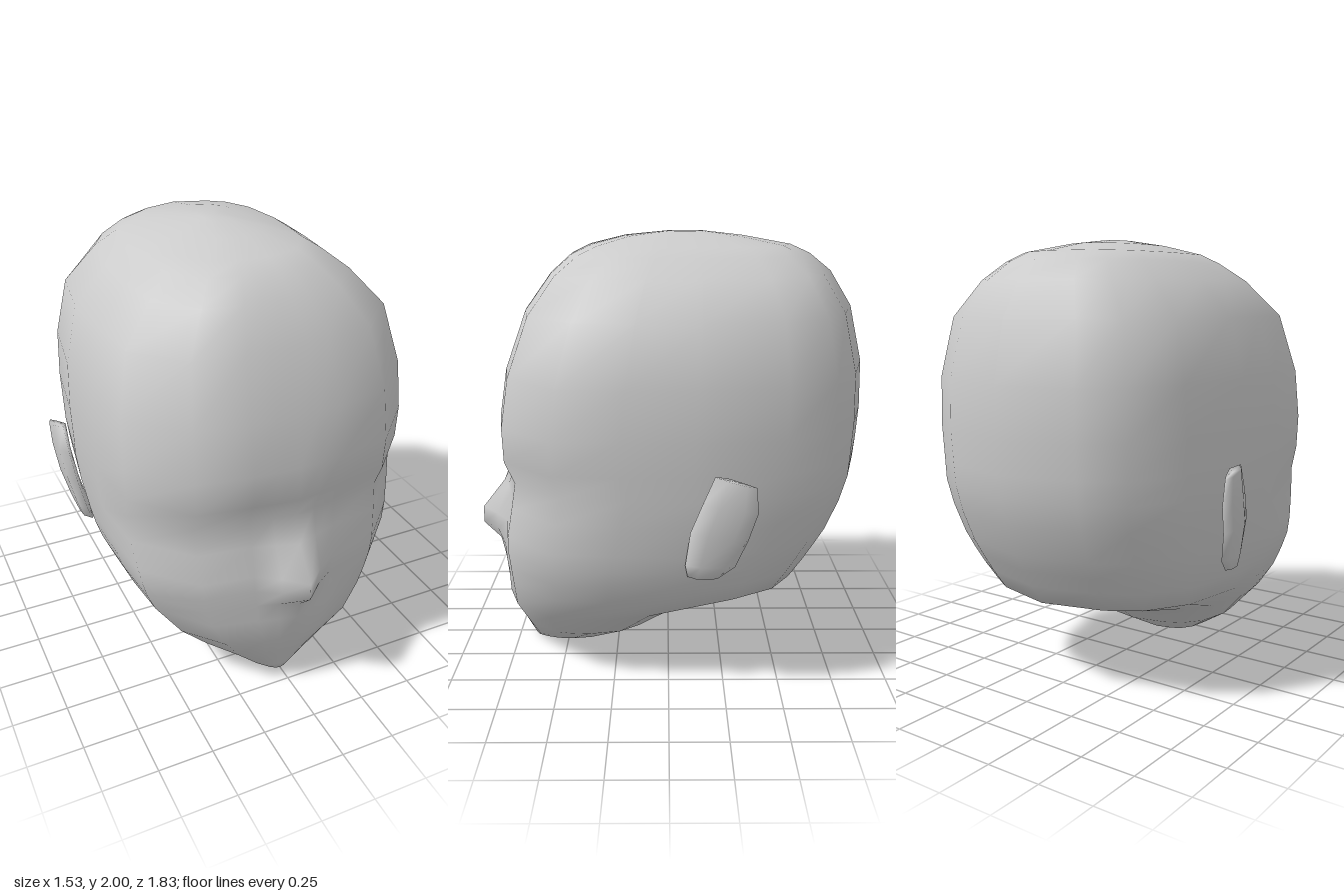
import * as THREE from 'three';

const material = new THREE.MeshStandardMaterial({ color: 0xcccccc, side: THREE.DoubleSide });

// Joins closed rings of [x, y, z] points, bottom to top, and caps both ends.
function loft(rings, name) {
  const n = rings[0].length, pos = [], index = [];
  rings.forEach(r => r.forEach(p => pos.push(...p)));
  for (let k = 0; k < rings.length - 1; k++) {
    for (let i = 0; i < n; i++) {
      const a = k * n + i, b = k * n + (i + 1) % n;
      index.push(a, b, b + n, a, b + n, a + n);
    }
  }
  [0, rings.length - 1].forEach((k, top) => {
    const c = pos.length / 3;
    for (let j = 0; j < 3; j++) pos.push(rings[k].reduce((s, p) => s + p[j], 0) / n);
    for (let i = 0; i < n; i++) {
      const a = k * n + i, b = k * n + (i + 1) % n;
      if (top) index.push(c, a, b); else index.push(c, b, a);
    }
  });
  const g = new THREE.BufferGeometry();
  g.setAttribute('position', new THREE.Float32BufferAttribute(pos, 3));
  g.setIndex(index);
  g.computeVertexNormals();
  const mesh = new THREE.Mesh(g, material);
  mesh.name = name;
  return mesh;
}

// Half outline of the skull seen from above: [share of width, share of depth], front to back
const outline = [[0, 1], [0.14, 1], [0.29, 0.995], [0.63, 0.97], [0.94, 0.835], [0.98, 0.66],
  [1, 0.476], [0.915, 0.25], [0.72, 0.118], [0.48, 0.053], [0, 0]];

// Levels: y, half width, front z, back z, front roundness, centre-line z
const levels = [
  [0.00, 0.07, 0.67, 0.50, 1, 0.67],
  [0.04, 0.17, 0.685, 0.28, 0.9, 0.685],
  [0.15, 0.34, 0.73, 0.06, 0.8, 0.73],
  [0.29, 0.48, 0.78, -0.14, 0.5, 0.785],
  [0.42, 0.59, 0.78, -0.64, 0.2, 0.81],
  [0.51, 0.63, 0.775, -0.70, 0.1, 0.83],
  [0.59, 0.655, 0.77, -0.75, 0, 0.91],
  [0.67, 0.67, 0.77, -0.80, 0, 0.91],
  [0.81, 0.69, 0.745, -0.86, 0, 0.80],
  [0.93, 0.70, 0.725, -0.895, 0, 0.75],
  [1.03, 0.705, 0.77, -0.905, 0, 0.79],
  [1.18, 0.71, 0.775, -0.915, 0, 0.78],
  [1.40, 0.70, 0.74, -0.91, 0, 0.74],
  [1.66, 0.64, 0.645, -0.85, 0, 0.645],
  [1.82, 0.49, 0.53, -0.75, 0, 0.53],
  [1.90, 0.385, 0.44, -0.65, 0.1, 0.44],
  [1.94, 0.32, 0.36, -0.56, 0.2, 0.36],
  [1.98, 0.17, 0.20, -0.34, 0.3, 0.20],
  [2.00, 0.06, 0.00, -0.16, 0.3, 0.00],
];

function headRing([y, w, zf, zb, round, zc]) {
  const half = outline.map(([u, v], i) => {
    const ellipse = 0.476 + 0.524 * Math.sqrt(1 - u * u);
    const t = i < 6 ? v + (ellipse - v) * round : v;
    const bump = (zc - zf) * ([1, 0.4][i] || 0);
    return [u * w, y, zb + (zf - zb) * t + bump];
  });
  const mirrored = half.slice(1, -1).reverse().map(([x, py, z]) => [-x, py, z]);
  return [...half, ...mirrored];
}

// Ear levels: front y, back y, front z, back z, outer x
const earLevels = [
  [0.58, 0.58, -0.08, -0.21, 0.69],
  [0.64, 0.64, -0.07, -0.28, 0.71],
  [0.80, 0.77, -0.09, -0.33, 0.745],
  [0.93, 0.90, -0.14, -0.37, 0.76],
  [1.05, 1.01, -0.19, -0.36, 0.765],
];
// Ear cross-section: [share from front to back, inset from the outer face]
const earSection = [[0, 0.035], [0.3, 0.005], [0.75, 0], [1, 0.015], [0.75, 0.035], [0.3, 0.06]];

function ear(side) {
  const rings = earLevels.map(([yf, yb, zf, zb, x]) => {
    const ring = earSection.map(([t, inset]) =>
      [side * (x - inset), yf + (yb - yf) * t, zf + (zb - zf) * t]);
    return side > 0 ? ring : ring.reverse();
  });
  return loft(rings, side > 0 ? 'leftEar' : 'rightEar');
}

export function createModel() {
  const group = new THREE.Group();
  group.name = 'head';
  group.add(loft(levels.map(headRing), 'skullAndFace'), ear(1), ear(-1));
  return group;
}
